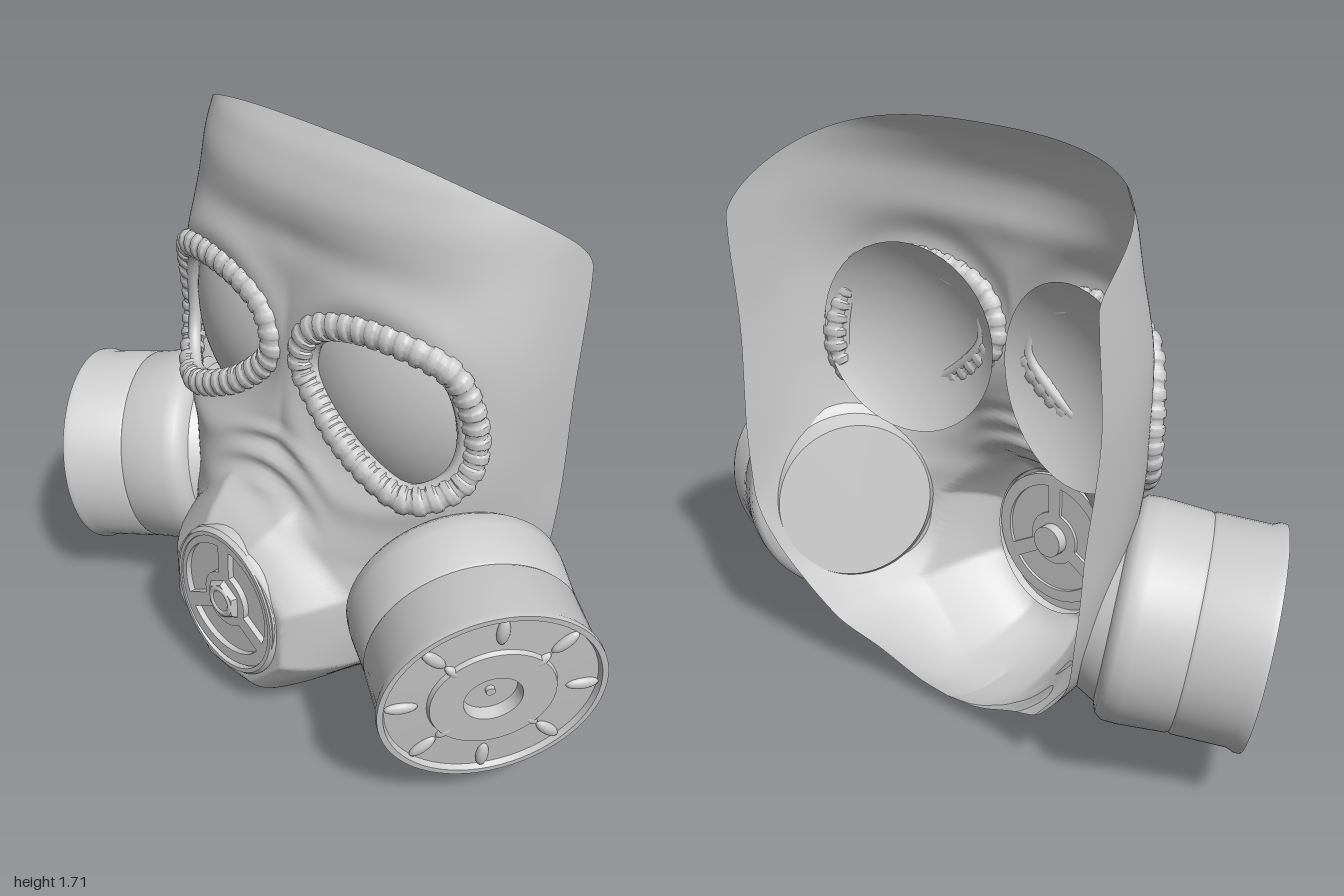
import * as THREE from 'three';
import { toCreasedNormals } from 'three/addons/utils/BufferGeometryUtils.js';

const grey = new THREE.MeshStandardMaterial({ color: 0xcccccc });
const greyThin = new THREE.MeshStandardMaterial({ color: 0xcccccc, side: THREE.DoubleSide });
const { smoothstep, clamp } = THREE.MathUtils;

function mesh(name, geometry, parent, material = grey) {
  const m = new THREE.Mesh(geometry, material);
  m.name = name;
  parent.add(m);
  return m;
}

// Monotone smooth curve through [y, value] pairs
function profile(pts) {
  const slope = i => (pts[i + 1][1] - pts[i][1]) / (pts[i + 1][0] - pts[i][0]);
  const tangent = i => {
    if (i === 0) return slope(0);
    if (i === pts.length - 1) return slope(i - 1);
    const a = slope(i - 1), b = slope(i);
    return a * b <= 0 ? 0 : (2 * a * b) / (a + b);
  };
  return y => {
    let i = 0;
    while (i < pts.length - 2 && y > pts[i + 1][0]) i++;
    const h = pts[i + 1][0] - pts[i][0];
    const t = clamp((y - pts[i][0]) / h, 0, 1), t2 = t * t, t3 = t2 * t;
    return (2 * t3 - 3 * t2 + 1) * pts[i][1] + (t3 - 2 * t2 + t) * h * tangent(i)
      + (3 * t2 - 2 * t3) * pts[i + 1][1] + (t3 - t2) * h * tangent(i + 1);
  };
}

// Face shell: half width, front depth, back rim depth and squareness by height
const halfWidth = profile([[0, 0], [0.01, 0.1], [0.05, 0.2], [0.12, 0.295], [0.22, 0.42], [0.4, 0.55], [0.6, 0.605], [0.8, 0.622], [1.2, 0.647], [1.48, 0.642], [1.71, 0.61]]);
const front = profile([[0, 0.05], [0.03, 0.17], [0.1, 0.25], [0.2, 0.27], [0.42, 0.27], [0.6, 0.22], [0.75, 0.145], [0.9, 0.09], [1.05, 0.07], [1.3, 0.065], [1.52, 0.06], [1.64, 0.02], [1.71, -0.03]]);
const back = profile([[0, -0.2], [0.07, -0.22], [0.3, -0.3], [0.6, -0.38], [0.75, -0.38], [1.1, -0.358], [1.43, -0.38], [1.71, -0.38]]);
const roundness = profile([[0, 2], [0.55, 2], [0.95, 3.3], [1.2, 3.3], [1.55, 2.5], [1.71, 2.5]]);

// Faceted muzzle, ridges above it, and brow relief
function relief(x, y, z) {
  const ax = Math.abs(x), d = Math.hypot(x, y - 0.38);
  const u = ax / 0.27, v = Math.abs(y - 0.35) / 0.27;
  const muzzle = clamp((1.25 - Math.max(u, v, (u + v) * 0.72)) / 0.4, 0, 1) * smoothstep(z, -0.1, 0.05);
  if (y > 0.5) {
    const fade = smoothstep(d, 0.24, 0.3) * (1 - smoothstep(d, 0.44, 0.52));
    z += 0.012 * fade * Math.max(0, 1 - ax / 0.26) * Math.sin(d * 2 * Math.PI / 0.075);
  }
  const socket = Math.hypot((ax - 0.32) / 0.3, (y - 1.05) / 0.27);
  z += 0.015 * Math.exp(-(((socket - 1.05) / 0.2) ** 2)) * (1 - smoothstep(ax, 0.48, 0.62));
  z -= 0.012 * Math.exp(-(((y - 1.42) / 0.05) ** 2)) * Math.max(0, 1 - ax / 0.6);
  return z + muzzle * (0.31 - z);
}

function shellZ(x, y) {
  const n = roundness(y), k = Math.min(1, Math.abs(x) / halfWidth(y));
  return relief(x, y, back(y) + (front(y) - back(y)) * (1 - k ** n) ** (1 / n));
}

// Centre line of the eyepiece frame
const eyeLine = new THREE.CatmullRomCurve3([
  [0.06, 1.08], [0.09, 1.19], [0.21, 1.25], [0.4, 1.26], [0.52, 1.215], [0.572, 1.05], [0.55, 0.89], [0.46, 0.825], [0.315, 0.868], [0.155, 0.965],
].map(([x, y]) => new THREE.Vector3(x, y, 0)), true);
const eyeOutline = eyeLine.getPoints(60);

function insideEye(x, y) {
  let inside = false;
  for (let i = 0, j = eyeOutline.length - 1; i < eyeOutline.length; j = i++) {
    const a = eyeOutline[i], b = eyeOutline[j];
    if ((a.y > y) !== (b.y > y) && x < (b.x - a.x) * (y - a.y) / (b.y - a.y) + a.x) inside = !inside;
  }
  return inside;
}

function shellGeometry() {
  const cols = 180, rows = 150, pos = [], index = [];
  const reach = (s, c, n) => (Math.abs(s) ** n + c ** n) ** (-1 / n);
  for (let j = 0; j <= rows; j++) {
    for (let i = 0; i <= cols; i++) {
      const a = (i / cols - 0.5) * Math.PI, s = Math.sin(a), c = Math.max(0, Math.cos(a));
      const rim = 1.43 + 0.28 * (c * reach(s, c, 2.5)) ** 0.68;
      const y = rim * (j / rows) ** 1.25;
      const r = reach(s, c, roundness(y));
      const x = halfWidth(y) * s * r;
      const z = relief(x, y, back(y) + (front(y) - back(y)) * c * r);
      // the underside of the chin curves up towards the back
      const lift = 0.05 * (Math.min(0, z) / 0.2) ** 2 * (1 - smoothstep(y, 0, 0.2));
      pos.push(x, y + lift, z);
    }
  }
  for (let j = 0; j < rows; j++) {
    for (let i = 0; i < cols; i++) {
      const a = j * (cols + 1) + i, b = a + 1, d = a + cols + 1, e = d + 1;
      const x = (pos[3 * a] + pos[3 * e]) / 2, y = (pos[3 * a + 1] + pos[3 * e + 1]) / 2;
      // openings for the eyes and the vent
      if (insideEye(Math.abs(x), y) || Math.hypot(x, y - 0.38) < 0.19) continue;
      index.push(a, b, e, a, e, d);
    }
  }
  const g = new THREE.BufferGeometry();
  g.setAttribute('position', new THREE.Float32BufferAttribute(pos, 3));
  g.setIndex(index);
  g.computeVertexNormals();
  return g;
}

function buildEyepiece(parent) {
  const onShell = (lift, scale) => new THREE.CatmullRomCurve3(eyeLine.getPoints(40).slice(0, 40).map(p => {
    const x = 0.32 + (p.x - 0.32) * scale, y = 1.05 + (p.y - 1.05) * scale;
    return new THREE.Vector3(x, y, shellZ(x, y) + lift);
  }), true);
  // ribbed frame: a closed, slightly flattened tube with stepped radius
  const path = onShell(0, 1), ribs = 36, N = ribs * 7, sides = 12;
  const g = new THREE.TubeGeometry(path, N, 0.042, sides, true);
  const p = g.attributes.position, v = new THREE.Vector3();
  for (let i = 0; i <= N; i++) {
    const centre = path.getPointAt((i % N) / N);
    for (let j = 0; j <= sides; j++) {
      const k = i * (sides + 1) + j;
      v.fromBufferAttribute(p, k).sub(centre).multiplyScalar(i % 7 < 4 ? 1 : 0.86);
      v.z *= 0.8;
      v.add(centre);
      p.setXYZ(k, v.x, v.y, v.z);
    }
  }
  mesh('eyeFrame', toCreasedNormals(g, 0.7), parent);
  mesh('eyeFrameInnerLip', new THREE.TubeGeometry(onShell(-0.01, 0.9), 100, 0.02, 8, true), parent);
  // domed lens, wider than its opening
  const lens = mesh('lens', new THREE.SphereGeometry(0.5, 48, 16, 0, Math.PI * 2, 0, 0.61), parent, greyThin);
  const dir = new THREE.Vector3(0.2, 0, 0.98).normalize();
  lens.quaternion.setFromUnitVectors(new THREE.Vector3(0, 1, 0), dir);
  lens.position.set(0.32, 1.05, 0.057).addScaledVector(dir, -0.5);
}

function buildFilter(parent) {
  const filter = new THREE.Group();
  filter.name = 'filter';
  const body = [[0, -0.45], [0.235, -0.45], [0.262, -0.4], [0.29, -0.39], [0.305, -0.37], [0.307, -0.33], [0.299, -0.2], [0.295, -0.192], [0.3, -0.184], [0.3, -0.035], [0.309, -0.015], [0.308, 0], [0.292, 0], [0.286, -0.016], [0.175, -0.012], [0.17, 0], [0.08, 0], [0.075, -0.035], [0, -0.035]];
  mesh('filterCanister', toCreasedNormals(new THREE.LatheGeometry(body.map(q => new THREE.Vector2(...q)), 64), 0.6), filter);
  // radial ribs on the face: eight outside, four across the inner ring
  for (const [count, radius, length, width, turn] of [[8, 0.243, 0.045, 0.018, 0], [4, 0.165, 0.03, 0.014, Math.PI / 4]]) {
    for (let i = 0; i < count; i++) {
      const a = turn + i * Math.PI * 2 / count;
      const rib = mesh('filterRib', new THREE.SphereGeometry(1, 14, 10), filter);
      rib.scale.set(length, 0.014, width);
      rib.position.set(radius * Math.cos(a), -0.012, -radius * Math.sin(a));
      rib.rotation.y = a;
    }
  }
  const pin = mesh('filterPin', new THREE.CylinderGeometry(0.013, 0.013, 0.015, 16), filter);
  pin.position.y = -0.03;
  filter.position.set(0.84, 0.438, 0.12);
  filter.rotation.set(Math.PI / 2 + 0.16, Math.atan2(0.85, 0.51), 0, 'YXZ');
  parent.add(filter);
}

function buildVent(parent) {
  const vent = new THREE.Group();
  vent.name = 'vent';
  vent.position.set(0, 0.38, 0.303);
  // low oval bezel
  const ring = [[0.228, -0.02], [0.225, 0.01], [0.215, 0.022], [0.203, 0.022], [0.198, 0.005]];
  const g = new THREE.LatheGeometry(ring.map(q => new THREE.Vector2(...q)), 48);
  g.rotateX(Math.PI / 2).scale(0.95, 1.06, 1);
  const bezel = mesh('ventBezel', toCreasedNormals(g, 0.4), vent, greyThin);
  bezel.position.y = -0.012;
  // grille with three curved windows between spokes
  const plate = new THREE.Shape().absarc(0, 0, 0.212, 0, Math.PI * 2);
  for (let i = 0; i < 3; i++) {
    const a = Math.PI / 2 + i * Math.PI * 2 / 3, b = a + Math.PI * 2 / 3;
    const hole = new THREE.Path();
    hole.absarc(0, 0, 0.175, a + 0.13, b - 0.13, false);
    hole.absarc(0, 0, 0.085, b - 0.26, a + 0.26, true);
    hole.closePath();
    plate.holes.push(hole);
  }
  const grille = mesh('ventGrille', new THREE.ExtrudeGeometry(plate, { depth: 0.034, bevelEnabled: false, curveSegments: 24 }), vent);
  grille.position.z = -0.016;
  const floor = mesh('ventFloor', new THREE.CylinderGeometry(0.19, 0.19, 0.006, 40).rotateX(Math.PI / 2), vent);
  floor.position.z = -0.003;
  // hexagonal boss with a round knob
  const boss = mesh('ventBoss', toCreasedNormals(new THREE.CylinderGeometry(0.055, 0.072, 0.022, 6).rotateX(Math.PI / 2), 0.3), vent);
  boss.position.z = 0.022;
  const knob = mesh('ventKnob', new THREE.TorusGeometry(0.04, 0.01, 10, 28), vent);
  knob.position.z = 0.028;
  const stem = mesh('ventStem', new THREE.CylinderGeometry(0.05, 0.05, 0.04, 20).rotateX(Math.PI / 2), vent);
  stem.position.z = -0.03;
  parent.add(vent);
}

export function createModel() {
  const model = new THREE.Group();
  model.name = 'gasMask';
  mesh('faceShell', shellGeometry(), model, greyThin);
  buildVent(model);
  const left = new THREE.Group();
  left.name = 'leftSide';
  buildEyepiece(left);
  buildFilter(left);
  const right = left.clone();
  right.name = 'rightSide';
  right.scale.x = -1;
  model.add(left, right);
  return model;
}
